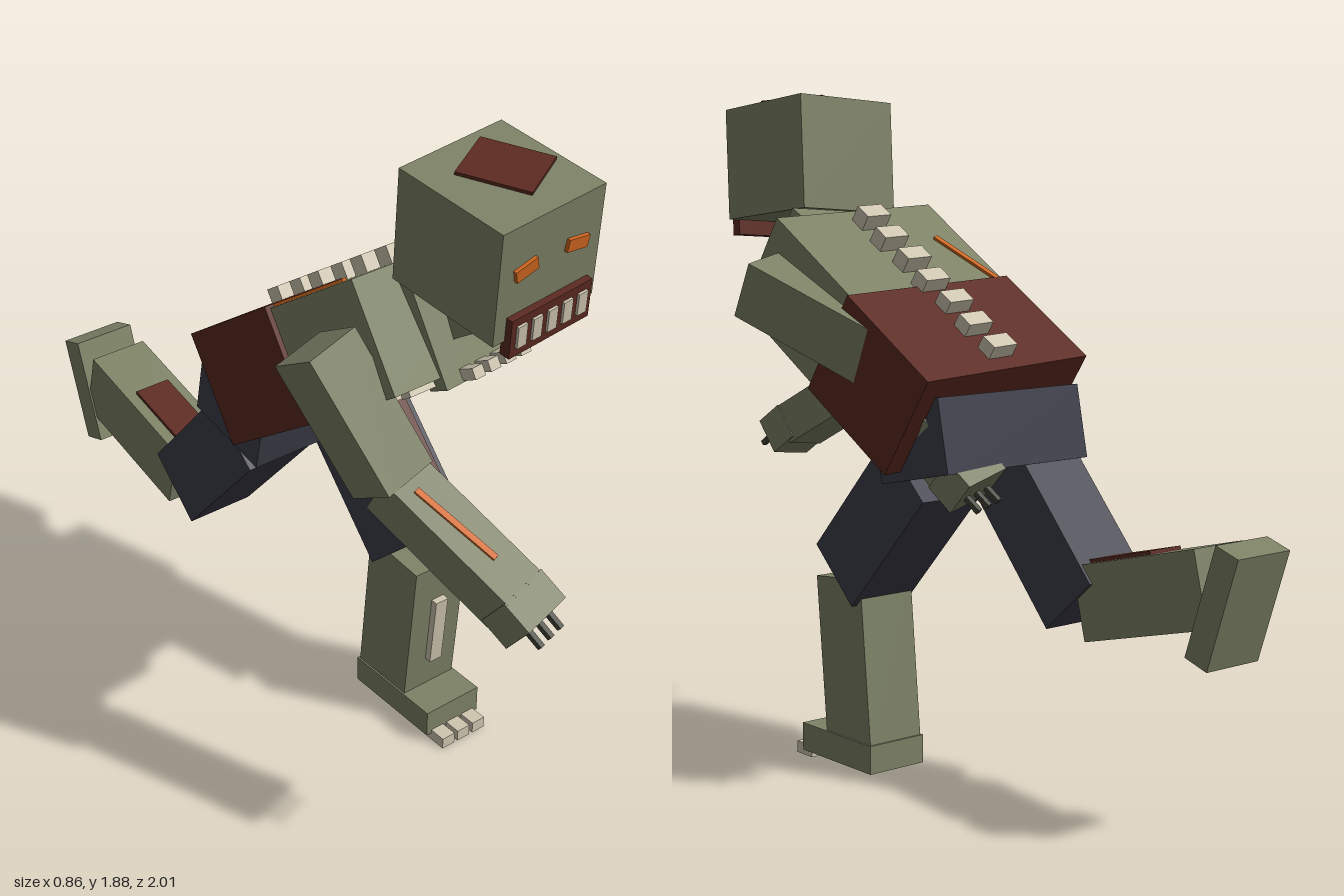
import * as THREE from 'three';

const mat = (name, color) => {
  const m = new THREE.MeshStandardMaterial({ color });
  m.name = name;
  return m;
};
const skin = mat('greenSkin', 0x7d8266);
const gore = mat('darkRed', 0x5c2a20);
const cloth = mat('navyCloth', 0x3d3d4a);
const bone = mat('bone', 0xcfc6b0);
const glow = mat('orange', 0xd0661f);
const claw = mat('claw', 0x44443a);
const rad = THREE.MathUtils.degToRad;

// Box of size [w,h,d] at position p, rotated by degrees r
function box(parent, name, material, [w, h, d], p, r = [0, 0, 0]) {
  const mesh = new THREE.Mesh(new THREE.BoxGeometry(w, h, d), material);
  mesh.name = name;
  mesh.position.set(...p);
  mesh.rotation.set(...r.map(rad));
  parent.add(mesh);
  return mesh;
}

function group(parent, name, p, r = [0, 0, 0]) {
  const g = new THREE.Group();
  g.name = name;
  g.position.set(...p);
  g.rotation.set(...r.map(rad));
  parent.add(g);
  return g;
}

// Limb segment from a to b: local -y runs along it, local x stays sideways
function limb(parent, name, material, a, b, w, d) {
  const A = new THREE.Vector3(...a), B = new THREE.Vector3(...b);
  const len = A.distanceTo(B);
  const y = A.clone().sub(B).normalize();
  const x = new THREE.Vector3(1, 0, 0).addScaledVector(y, -y.x).normalize();
  const z = new THREE.Vector3().crossVectors(x, y);
  const g = group(parent, name, a);
  g.quaternion.setFromRotationMatrix(new THREE.Matrix4().makeBasis(x, y, z));
  box(g, name + 'Block', material, [w, len, d], [0, -len / 2, 0]);
  g.userData.len = len;
  return g;
}

function arm(parent, side, shoulder, elbow, wrist) {
  const g = group(parent, side + 'Arm', [0, 0, 0]);
  limb(g, side + 'UpperArm', skin, shoulder, elbow, 0.155, 0.16);
  const fore = limb(g, side + 'Forearm', skin, elbow, wrist, 0.14, 0.125);
  // hand with three claws
  const end = -fore.userData.len;
  box(fore, side + 'Hand', skin, [0.15, 0.09, 0.115], [0, end - 0.03, 0], [8, 0, 0]);
  for (const i of [-1, 0, 1])
    box(fore, side + 'Claw', claw, [0.014, 0.06, 0.016], [i * 0.04, end - 0.095, 0], [10, 0, 0]);
  return fore;
}

export function createModel() {
  const model = new THREE.Group();
  model.name = 'hunchedCreature';

  // Torso, leaning forward
  const torso = group(model, 'torso', [-0.01, 1.23, 0.15], [55.5, 0, -4.5]);
  box(torso, 'chest', skin, [0.56, 0.71, 0.3], [0, 0, 0]);
  box(torso, 'tornWaist', gore, [0.59, 0.362, 0.316], [0, -0.18, 0]);
  box(torso, 'chestWound', gore, [0.4, 0.32, 0.008], [0.01, 0.16, 0.151]);
  for (let i = 0; i < 5; i++)
    box(torso, 'rib', bone, [0.44, 0.034, 0.025], [0.01, 0.305 - i * 0.07, 0.155]);
  for (let i = 0; i < 7; i++)
    box(torso, 'vertebra', bone, [0.086, 0.05, 0.05], [i % 2 ? 0.004 : -0.004, -0.29 + i * 0.097, -0.172]);
  box(torso, 'backScar', glow, [0.018, 0.24, 0.009], [-0.225, 0.09, -0.153], [0, 0, -20]);

  // Neck and dropped jaw
  box(model, 'neck', skin, [0.13, 0.2, 0.115], [0.015, 1.44, 0.484], [55.5, 0, 0]);
  const jaw = group(model, 'jaw', [0.04, 1.41, 0.457], [63, 4, 0]);
  box(jaw, 'jawPlate', skin, [0.32, 0.07, 0.29], [0, 0, 0]);
  for (let i = 0; i < 4; i++)
    box(jaw, 'lowerTooth', bone, [0.033, 0.055, 0.03], [-0.09 + i * 0.051, 0.06, 0.125]);

  // Head
  const head = group(model, 'head', [0.01, 1.69, 0.58], [7, 3.5, 3.5]);
  box(head, 'skull', skin, [0.33, 0.315, 0.342], [0, 0, 0]);
  box(head, 'headWound', gore, [0.165, 0.012, 0.19], [0.03, 0.16, -0.02], [0, 25, 0]);
  for (const s of [-1, 1])
    box(head, 'eye', glow, [0.07, 0.033, 0.02], [s * 0.083, 0.03, 0.171], [0, 0, s * -11]);
  box(head, 'mouth', gore, [0.265, 0.11, 0.03], [0.005, -0.145, 0.175]);
  for (let i = -2; i <= 2; i++)
    box(head, 'upperTooth', bone, [0.03, 0.062, 0.014], [0.005 + i * 0.05, -0.143, 0.19]);

  // Arms: right reaches forward, left swings back
  const fore = arm(model, 'right', [-0.36, 1.41, 0.36], [-0.265, 1.085, 0.545], [-0.165, 0.88, 0.89]);
  box(fore, 'forearmScar', glow, [0.018, 0.25, 0.009], [-0.008, -0.19, 0.064], [0, 0, 5]);
  arm(model, 'left', [0.35, 1.365, 0.355], [0.2, 1.2, 0.02], [0.1, 0.9, -0.2]);

  // Pelvis
  box(model, 'pelvis', cloth, [0.49, 0.2, 0.28], [-0.045, 0.97, -0.11], [12, 0, 0]);

  // Left leg, planted in front
  const thighL = limb(model, 'leftThigh', cloth, [0.095, 0.89, -0.08], [0.095, 0.56, 0.23], 0.2, 0.22);
  box(thighL, 'thighGash', gore, [0.05, 0.33, 0.015], [0.055, -0.17, 0.114]);
  const shinL = limb(model, 'leftShin', skin, [0.09, 0.55, 0.233], [0.09, 0.06, 0.187], 0.176, 0.2);
  box(shinL, 'shinBone', bone, [0.042, 0.22, 0.03], [0, -0.23, 0.105]);
  box(model, 'leftFoot', skin, [0.186, 0.08, 0.315], [0.09, 0.062, 0.242]);
  for (const i of [-1, 0, 1])
    box(model, 'toe', bone, [0.043, 0.034, 0.07], [0.09 + i * 0.055, 0.017, 0.415]);

  // Right leg, kicked back
  limb(model, 'rightThigh', cloth, [-0.18, 0.88, -0.12], [-0.18, 0.543, -0.42], 0.2, 0.22);
  const shinR = limb(model, 'rightShin', skin, [-0.177, 0.555, -0.45], [-0.177, 0.665, -0.88], 0.176, 0.2);
  box(shinR, 'calfGash', gore, [0.11, 0.24, 0.014], [0, -0.14, -0.103]);
  box(model, 'rightFoot', skin, [0.186, 0.078, 0.31], [-0.177, 0.623, -0.92], [72, 0, 0]);

  return model;
}
